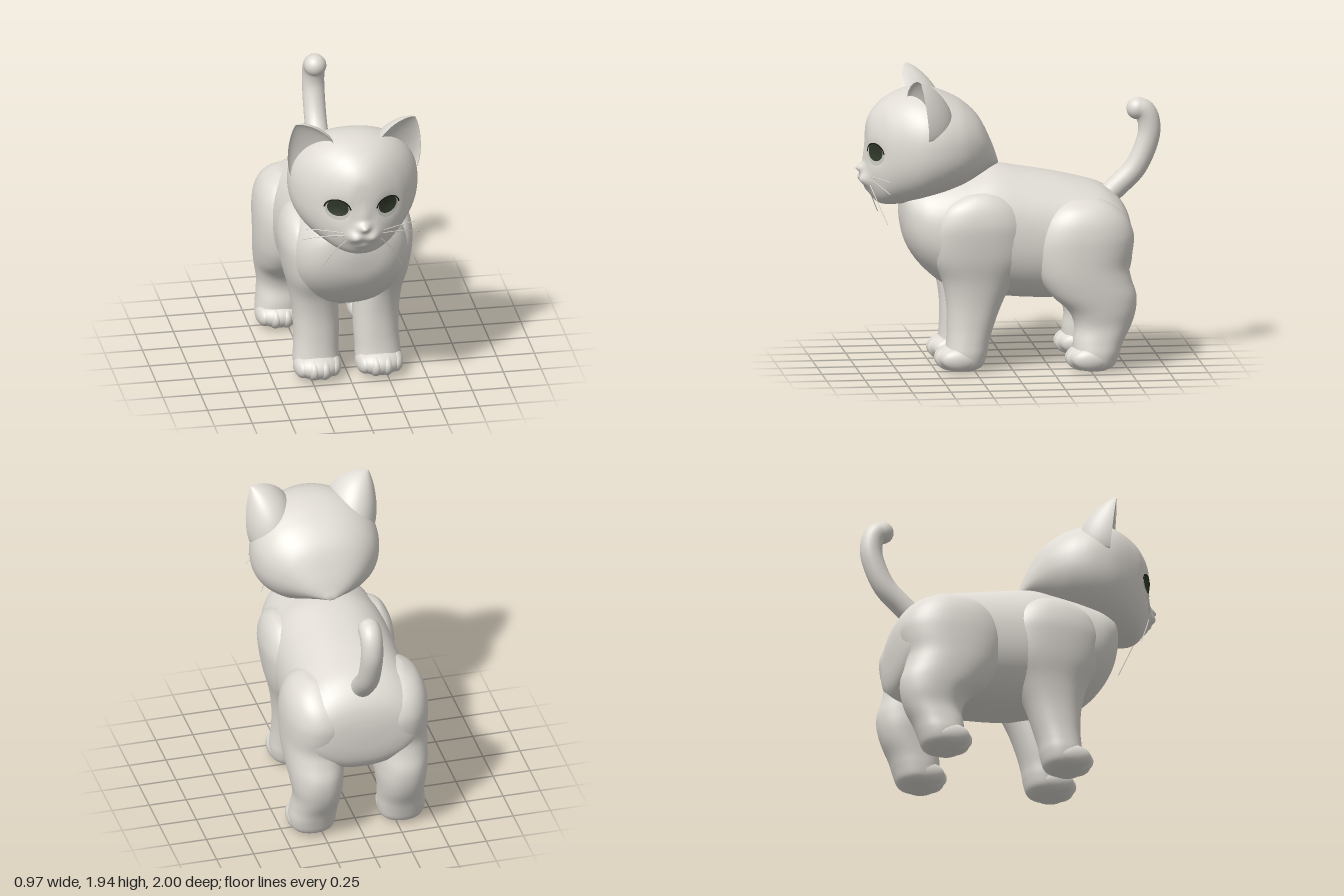
import * as THREE from 'three';

const fur = new THREE.MeshStandardMaterial({ color: 0xdfdbd4, name: 'fur' });
const iris = new THREE.MeshStandardMaterial({ color: 0x30382a, name: 'iris' });
const eyeWhite = new THREE.MeshStandardMaterial({ color: 0xc4c4ba, name: 'eyeWhite' });
const lash = new THREE.MeshStandardMaterial({ color: 0x1c1c1a, name: 'lash' });

function add(parent, name, geometry, material = fur) {
  const mesh = new THREE.Mesh(geometry, material);
  mesh.name = name;
  parent.add(mesh);
  return mesh;
}

// Skin a list of closed rings of points, cap both ends, and face it outward
function skin(rings) {
  const n = rings[0].length, pos = [], idx = [];
  rings.forEach(r => r.forEach(p => pos.push(p.x, p.y, p.z)));
  const centre = ring => {
    const c = new THREE.Vector3();
    ring.forEach(p => c.addScaledVector(p, 1 / n));
    pos.push(c.x, c.y, c.z);
  };
  centre(rings[0]);
  centre(rings[rings.length - 1]);
  const c0 = rings.length * n, last = (rings.length - 1) * n;
  for (let j = 0; j < n; j++) {
    const k = (j + 1) % n;
    for (let i = 0; i < rings.length - 1; i++) {
      const a = i * n + j, b = i * n + k;
      idx.push(a, b, b + n, a, b + n, a + n);
    }
    idx.push(c0, k, j, c0 + 1, last + j, last + k);
  }
  let volume = 0;
  const v = i => new THREE.Vector3(pos[3 * i], pos[3 * i + 1], pos[3 * i + 2]);
  for (let i = 0; i < idx.length; i += 3) volume += v(idx[i]).dot(v(idx[i + 1]).cross(v(idx[i + 2])));
  if (volume < 0) idx.reverse();
  const g = new THREE.BufferGeometry();
  g.setAttribute('position', new THREE.Float32BufferAttribute(pos, 3));
  g.setIndex(idx);
  g.computeVertexNormals();
  return g;
}

// Loft through sections [s, a0, a1, b0, b1]; place(s, a, b) gives the point
function loft(sections, place, steps = 56, sides = 48) {
  const A = new THREE.CatmullRomCurve3(sections.map(s => new THREE.Vector3(s[0], s[1], s[2])), false, 'catmullrom');
  const B = new THREE.CatmullRomCurve3(sections.map(s => new THREE.Vector3(s[3], s[4], 0)), false, 'catmullrom');
  const round = c => Math.sign(c) * Math.pow(Math.abs(c), 0.9);
  const rings = [];
  for (let i = 0; i <= steps; i++) {
    const p = A.getPoint(i / steps), q = B.getPoint(i / steps), ring = [];
    for (let j = 0; j < sides; j++) {
      const t = j / sides * Math.PI * 2;
      ring.push(place(p.x,
        (p.y + p.z) / 2 + (p.y - p.z) / 2 * round(Math.sin(t)),
        (q.x + q.y) / 2 + (q.y - q.x) / 2 * round(Math.cos(t))));
    }
    rings.push(ring);
  }
  return skin(rings);
}

// Sections along z: [z, top, bottom, half width]; push(x, y) moves the front
const alongZ = (rows, push = () => 0, steps, sides) => loft(rows.map(([z, t, b, w]) => [z, t, b, -w, w]),
  (z, y, x) => new THREE.Vector3(x, y, z > 0.6 ? z + push(x, y) : z), steps, sides);

// Sections along y: [y, front z, back z, inner x, outer x]
const alongY = (rows, side) => loft(rows, (y, z, x) => new THREE.Vector3(side * x, y, z));

function ellipsoid(parent, name, [x, y, z], [rx, ry, rz]) {
  const g = new THREE.SphereGeometry(1, 28, 20).scale(rx, ry, rz).translate(x, y, z);
  return add(parent, name, g);
}

// Face relief, mirrored in x: [height, x, y, spread x, spread y]
const relief = [
  [0.028, 0, 1.27, 0.11, 0.07],      // muzzle
  [0.034, 0.06, 1.25, 0.047, 0.038], // whisker pads
  [0.044, 0, 1.325, 0.04, 0.028],    // nose
  [0.013, 0, 1.39, 0.045, 0.07],     // bridge
  [0.014, 0, 1.185, 0.05, 0.028],    // chin
  [-0.02, 0.165, 1.44, 0.07, 0.06]]; // eye socket
const faceRelief = (x, y) => relief.reduce((sum, [h, cx, cy, sx, sy]) => {
  const bump = c => h * Math.exp(-(((x - c) / sx) ** 2) - ((y - cy) / sy) ** 2);
  return sum + bump(cx) + (cx ? bump(-cx) : 0);
}, 0);

// Lay a flat patch on the front of a mesh
function drape(geometry, target, lift) {
  const ray = new THREE.Raycaster(), p = geometry.attributes.position;
  target.updateMatrixWorld(true);
  for (let i = 0; i < p.count; i++) {
    ray.set(new THREE.Vector3(p.getX(i), p.getY(i), 3), new THREE.Vector3(0, 0, -1));
    const hit = ray.intersectObject(target)[0];
    p.setZ(i, (hit ? hit.point.z : 0.8) + lift);
  }
  geometry.computeVertexNormals();
  return geometry;
}

// Cupped ear: rounded back, hollow front, tucked in below
function ear(side) {
  const base = new THREE.Vector3(0.285, 1.685, 0.625), tip = new THREE.Vector3(0.395, 1.938, 0.62);
  const U = new THREE.Vector3(0.135, -0.125, -0.055), B = new THREE.Vector3(-0.035, 0, -0.225);
  const rings = [];
  for (let i = -4; i <= 24; i++) {
    const t = i / 24, ring = [];
    const s = t < 0 ? 1 + t * 2 : Math.max(0.02, Math.pow(1 - Math.pow(t, 1.6), 0.76));
    for (let j = 0; j < 40; j++) {
      const a = j / 40 * Math.PI * 2, d = Math.sin(a);
      const p = base.clone().lerp(tip, t).addScaledVector(U, s * Math.cos(a));
      p.addScaledVector(B, s * (d > 0 ? d : -0.3 * d));
      p.x *= side;
      ring.push(p);
    }
    rings.push(ring);
  }
  return skin(rings);
}

const frontLegRows = [
  [0.012, 0.4, 0.24, 0.12, 0.29], [0.045, 0.44, 0.19, 0.07, 0.34], [0.12, 0.44, 0.165, 0.055, 0.355],
  [0.2, 0.43, 0.15, 0.055, 0.35], [0.3, 0.425, 0.12, 0.05, 0.345], [0.45, 0.43, 0.065, 0.05, 0.35],
  [0.6, 0.46, -0.01, 0.06, 0.372], [0.75, 0.52, -0.09, 0.1, 0.41], [0.9, 0.53, -0.09, 0.13, 0.433],
  [1.0, 0.51, -0.07, 0.15, 0.437], [1.1, 0.45, -0.01, 0.18, 0.415], [1.17, 0.33, 0.09, 0.22, 0.37],
  [1.19, 0.22, 0.18, 0.27, 0.32]];
const hindLegRows = [
  [0.012, -0.44, -0.61, 0.21, 0.39], [0.045, -0.4, -0.66, 0.16, 0.44], [0.12, -0.39, -0.69, 0.145, 0.455],
  [0.2, -0.39, -0.72, 0.14, 0.445], [0.3, -0.4, -0.77, 0.13, 0.435], [0.4, -0.36, -0.8, 0.115, 0.45],
  [0.5, -0.25, -0.805, 0.1, 0.465], [0.6, -0.18, -0.775, 0.075, 0.475], [0.69, -0.145, -0.76, 0.05, 0.48],
  [0.8, -0.125, -0.785, 0.035, 0.483], [0.9, -0.135, -0.79, 0.035, 0.48], [1.0, -0.18, -0.75, 0.06, 0.46],
  [1.08, -0.26, -0.67, 0.12, 0.415], [1.13, -0.36, -0.58, 0.2, 0.34], [1.14, -0.44, -0.52, 0.25, 0.29]];

function leg(parent, name, rows, side, pawX, toeZ) {
  const g = new THREE.Group();
  g.name = name;
  parent.add(g);
  add(g, 'limb', alongY(rows, side));
  ellipsoid(g, 'paw', [side * pawX, 0.097, toeZ - 0.055], [0.155, 0.089, 0.137]);
  [-0.1, -0.036, 0.036, 0.1].forEach((dx, i) => {
    const outer = i % 3 === 0;
    ellipsoid(g, 'toe', [side * (pawX + dx), 0.093, toeZ - (outer ? 0.07 : 0.035)], [0.056, outer ? 0.074 : 0.083, 0.122]);
  });
}

export function createModel() {
  const cat = new THREE.Group();
  cat.name = 'kitten';

  // Torso and chest
  add(cat, 'torso', alongZ([
    [0.717, 1.1, 1.02, 0.03], [0.705, 1.16, 0.94, 0.12], [0.68, 1.2, 0.84, 0.21], [0.63, 1.22, 0.745, 0.285],
    [0.55, 1.25, 0.65, 0.345], [0.42, 1.28, 0.55, 0.385], [0.25, 1.31, 0.5, 0.4], [0.1, 1.335, 0.475, 0.4],
    [-0.1, 1.305, 0.455, 0.4], [-0.3, 1.27, 0.45, 0.4], [-0.45, 1.235, 0.46, 0.41], [-0.6, 1.19, 0.49, 0.415],
    [-0.7, 1.12, 0.53, 0.395], [-0.76, 1.04, 0.59, 0.345], [-0.787, 0.96, 0.68, 0.24], [-0.797, 0.88, 0.8, 0.07]]));

  // Head with sculpted muzzle, nose and eye sockets
  const head = add(cat, 'head', alongZ([
    [0.07, 1.365, 1.335, 0.03], [0.12, 1.5, 1.315, 0.155], [0.2, 1.655, 1.265, 0.275], [0.3, 1.75, 1.205, 0.365],
    [0.4, 1.805, 1.16, 0.41], [0.5, 1.84, 1.125, 0.425], [0.6, 1.85, 1.1, 0.412], [0.7, 1.832, 1.09, 0.365],
    [0.8, 1.785, 1.085, 0.29], [0.86, 1.735, 1.1, 0.223], [0.9, 1.685, 1.145, 0.162], [0.925, 1.63, 1.22, 0.107],
    [0.935, 1.56, 1.33, 0.055], [0.938, 1.49, 1.42, 0.015]], faceRelief, 150, 80));

  // Tail
  const tailPath = new THREE.CatmullRomCurve3([
    [1.05, -0.59], [1.16, -0.71], [1.28, -0.83], [1.42, -0.9], [1.53, -0.927], [1.62, -0.915], [1.663, -0.885],
    [1.675, -0.85]].map(([y, z]) => new THREE.Vector3(0, y, z)));
  add(cat, 'tail', new THREE.TubeGeometry(tailPath, 48, 0.073, 24));
  ellipsoid(cat, 'tailTip', [0, 1.675, -0.85], [0.073, 0.073, 0.073]);

  for (const side of [1, -1]) {
    const label = side > 0 ? 'left' : 'right';
    leg(cat, label + 'FrontLeg', frontLegRows, side, 0.205, 0.42);
    leg(cat, label + 'HindLeg', hindLegRows, side, 0.305, -0.427);
    add(cat, label + 'Ear', ear(side));

    // Eye patches, following the face
    const patch = (inner, sx, sy, x, y, start = 0, sweep = Math.PI * 2) =>
      new THREE.RingGeometry(inner, 1, 32, 4, start, sweep).scale(sx, sy, 1).translate(side * x, y, 0);
    add(cat, label + 'EyeWhite', drape(patch(0.01, 0.076, 0.07, 0.167, 1.436), head, 0.003), eyeWhite);
    add(cat, label + 'Iris', drape(patch(0.01, 0.065, 0.058, 0.165, 1.452), head, 0.006), iris);
    add(cat, label + 'UpperLash', drape(patch(0.88, 0.085, 0.074, 0.167, 1.44, 0.1, Math.PI - 0.2), head, 0.008), lash);

    // Whiskers
    [[0.1, 1.275, 0.36, 1.285, 1.3], [0.11, 1.26, 0.385, 1.21, 1.265], [0.1, 1.235, 0.27, 0.985, 1.15]]
      .forEach(([x0, y0, x1, y1, ym]) => {
        const path = new THREE.QuadraticBezierCurve3(
          new THREE.Vector3(side * x0, y0, 0.92),
          new THREE.Vector3(side * (x0 * 0.4 + x1 * 0.6), ym, 0.89),
          new THREE.Vector3(side * x1, y1, 0.82));
        add(cat, label + 'Whisker', new THREE.TubeGeometry(path, 14, 0.003, 6));
      });
  }
  return cat;
}
